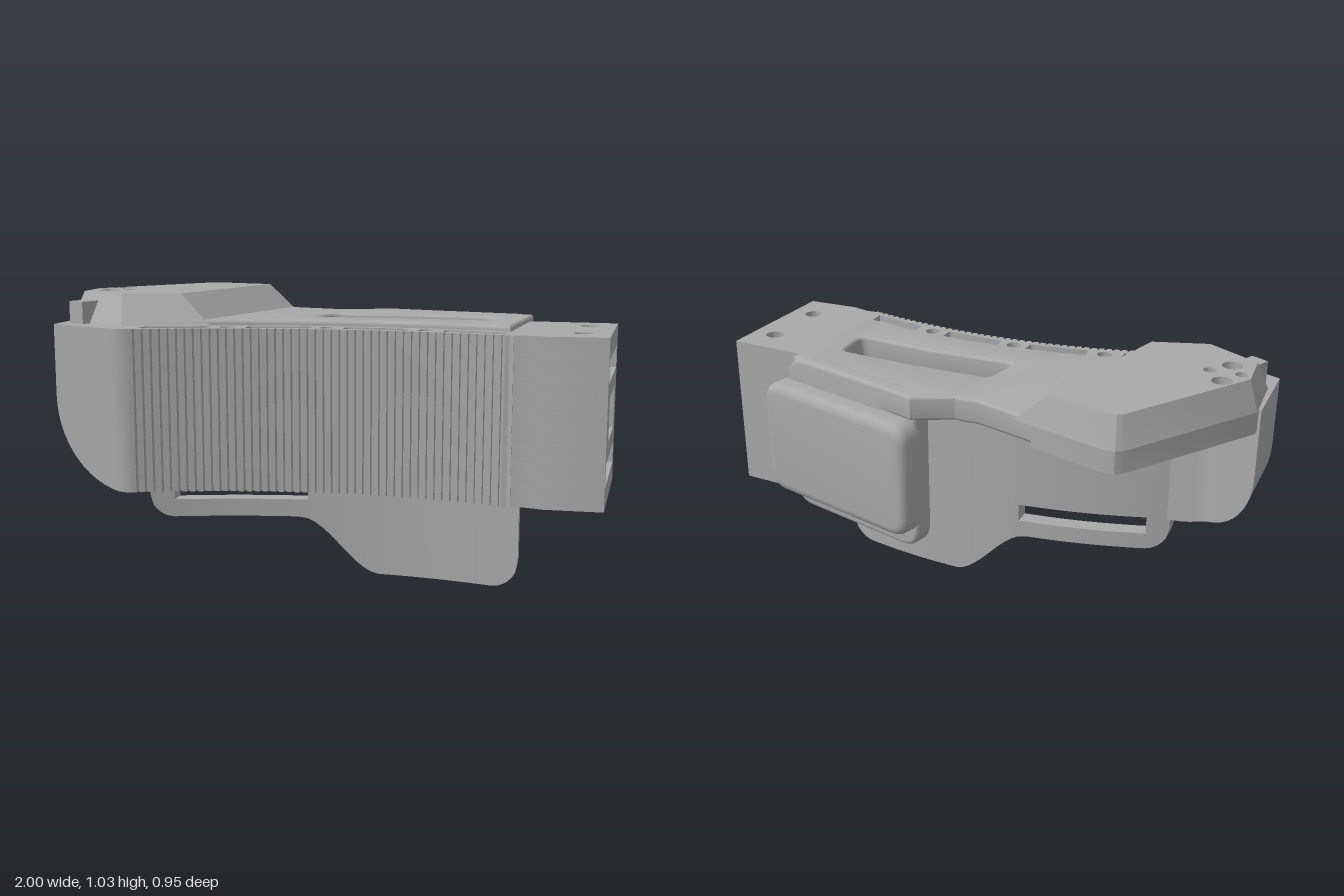
import * as THREE from 'three';
import { toCreasedNormals } from 'three/addons/utils/BufferGeometryUtils.js';

// Front curve of the grip, as z over x
const bow = x => 0.33 + 0.237 * (x - 0.07) ** 2;
const range = (a, b, n) => Array.from({ length: n + 1 }, (_, i) => a + (b - a) * i / n);
const lerp = THREE.MathUtils.lerp;
const vec = pts => pts.map(p => new THREE.Vector2(p[0], p[1]));
const crease = g => toCreasedNormals(g, 0.5);

const circle = (x, z, r) => range(0, Math.PI * 2, 20).slice(0, -1)
  .map(a => [x + r * Math.cos(a), z + r * Math.sin(a)]);

// Polygon with rounded corners
function rounded(pts, r) {
  const out = [], v = vec(pts), n = v.length;
  v.forEach((p, i) => {
    const a = v[(i + n - 1) % n].clone().sub(p).setLength(r).add(p);
    const b = v[(i + 1) % n].clone().sub(p).setLength(r).add(p);
    new THREE.QuadraticBezierCurve(a, p, b).getPoints(6).forEach(q => out.push([q.x, q.y]));
  });
  return out;
}

// Extrude an outline with holes; bevel stays inside the outline
function extrude(pts, depth, holes = [], bevel = 0) {
  const shape = new THREE.Shape(vec(pts));
  shape.holes = holes.map(h => new THREE.Path(vec(h)));
  const g = new THREE.ExtrudeGeometry(shape, {
    depth: depth - 2 * bevel, bevelEnabled: bevel > 0, bevelThickness: bevel,
    bevelSize: bevel, bevelOffset: -bevel, bevelSegments: 4,
  });
  return g.translate(0, 0, bevel);
}

// Upright prism from an (x, z) plan
const prism = (pts, y0, y1, holes, bevel) =>
  extrude(pts, y1 - y0, holes, bevel).rotateX(Math.PI / 2).translate(0, y1, 0);

// Slab of rectangular sections along x; each limit is a function of x
function slab(xs, bottom, top, back, front) {
  const pos = [], idx = [], n = xs.length;
  xs.forEach(x => {
    const b = bottom(x), t = top(x), k = back(x), f = front(x);
    pos.push(x, b, k, x, b, f, x, t, f, x, t, k);
  });
  for (let s = 0; s < n - 1; s++) for (let i = 0; i < 4; i++) {
    const a = s * 4 + i, b = s * 4 + (i + 1) % 4;
    idx.push(a, a + 4, b, b, a + 4, b + 4);
  }
  const e = (n - 1) * 4;
  idx.push(0, 1, 2, 0, 2, 3, e, e + 2, e + 1, e, e + 3, e + 2);
  const g = new THREE.BufferGeometry();
  g.setAttribute('position', new THREE.Float32BufferAttribute(pos, 3));
  g.setIndex(idx);
  return g;
}

export function createModel() {
  const model = new THREE.Group();
  const grey = new THREE.MeshStandardMaterial({ color: 0xa9a9a9 });
  grey.name = 'grey';
  const add = (name, geometry, parent = model) => {
    const m = new THREE.Mesh(crease(geometry), grey);
    m.name = name;
    parent.add(m);
    return m;
  };

  // Bowed front wall with vertical ribs
  const plan = [], ribs = 46, pitch = 1.3 / ribs;
  for (let i = 0; i < ribs; i++) {
    const x = -0.67 + i * pitch;
    for (const [t, d] of [[0, 0], [0.6, 0], [0.7, 0.013], [0.9, 0.013]])
      plan.push([x + t * pitch, bow(x + t * pitch) - d]);
  }
  plan.push([0.66, bow(0.66)]);
  range(0.66, -0.67, 30).forEach(x => plan.push([x, bow(x) - 0.25]));

  // Pin holes and the shallow slots around them
  const rowZ = x => bow(x) - 0.062;
  const single = [-0.35, 0, 0.35].map(x => circle(x, rowZ(x), 0.028));
  const slotX = [-0.53, -0.17, 0.175, 0.53];
  const pins = slotX.flatMap(c => [-0.084, -0.028, 0.028, 0.084]
    .map(d => circle(c + d, rowZ(c + d), 0.024)));
  const slots = slotX.map(c => {
    const xs = range(c - 0.115, c + 0.115, 8);
    return rounded([...xs.map(x => [x, rowZ(x) - 0.03]),
      ...xs.reverse().map(x => [x, rowZ(x) + 0.03])], 0.012);
  });
  add('gripWall', prism(plan, 0.34, 0.895, [...single, ...pins]));
  add('gripWallTop', prism(plan, 0.895, 0.92, [...single, ...slots]));

  // Rounded far end of the wall
  const endX = [...range(0, Math.PI / 2, 14).map(a => -0.68 - 0.32 * Math.cos(a)), -0.66];
  const endBack = x => x > -0.8 ? 0.2 : lerp(0.2, 0.02, (-0.8 - x) / 0.2);
  const endFront = x => x > -0.7 ? bow(x) : lerp(0.467, 0.33, (-0.7 - x) / 0.3);
  add('wallEnd', slab(endX,
    x => 0.66 - 0.32 * Math.sqrt(Math.max(0, 1 - (Math.min(0, x + 0.68) / 0.32) ** 2)),
    () => 0.92, endBack, endFront));

  // Thin raised panel on the inside of the wall
  add('innerPanel', slab(range(-0.72, 0.6, 30), x => 0.43, () => 0.83,
    x => bow(x) - 0.256, x => bow(x) - 0.245));

  // Hanging tab with a strap slot
  const tabBottom = x => {
    if (x < -0.58) return 0.295 - 0.09 * Math.sqrt(Math.max(0, 1 - ((x + 0.58) / 0.09) ** 2));
    if (x < 0.17) return 0.205 * (1 - THREE.MathUtils.smoothstep(x, -0.13, 0.17));
    return x > 0.58 ? 0.1 - 0.1 * Math.sqrt(Math.max(0, 1 - ((x - 0.58) / 0.1) ** 2)) : 0;
  };
  const tabX = [...range(-0.67, -0.586, 8), ...range(-0.585, -0.101, 12), ...range(-0.1, 0.58, 26),
    ...range(0.6, 0.66, 4), 0.672, 0.68];
  add('tab', slab(tabX, tabBottom, x => x > -0.5855 && x < -0.1005 ? 0.27 : 0.36,
    x => bow(x) - 0.25, x => bow(x) - 0.185));

  // End block in layers, with pockets open to the side
  const faceX = z => 1 - (z + 0.11) * 0.057;
  const blockPlan = steps => {
    const notch = [];
    steps.forEach(([z0, z1, d0, d1]) => {
      notch.unshift([faceX(z0) - d1, z0], [faceX(z0) - d0, z0]);
      notch.push([faceX(z1) - d0, z1], [faceX(z1) - d1, z1]);
    });
    // Walk the pocket from its low-z lip inward and out again
    const low = notch.slice(0, notch.length / 2), high = notch.slice(notch.length / 2);
    const path = [...low.reverse(), ...high.reverse()];
    return [[0.63, -0.14], [1, -0.11], ...path, [0.97, 0.42], [0.77, 0.42],
      [0.7, 0.4], [0.63, bow(0.63)]];
  };
  const wide = [[-0.07, 0.385, 0, 0.24]];
  const screwHoles = [circle(0.9, 0.01, 0.034), circle(0.885, 0.28, 0.034)];
  const layers = [
    [0.34, 0.415, [], screwHoles], [0.415, 0.495, wide], [0.495, 0.555, []],
    [0.555, 0.59, [[-0.01, 0.295, 0, 0.03]]],
    [0.59, 0.68, null], [0.68, 0.71, [[-0.01, 0.295, 0, 0.03]]],
    [0.71, 0.765, []], [0.765, 0.845, wide], [0.845, 0.92, [], screwHoles],
  ];
  const stepped = [[0.63, -0.14], [1, -0.11],
    ...[[-0.01, 0], [-0.01, 0.03], [0, 0.03], [0, 0.24], [0.25, 0.24], [0.25, 0.03], [0.295, 0.03], [0.295, 0]]
      .map(([z, d]) => [faceX(z) - d, z]),
    [0.97, 0.42], [0.77, 0.42], [0.7, 0.4], [0.63, bow(0.63)]];
  layers.forEach(([y0, y1, steps, holes]) =>
    add('endBlock', prism(steps ? blockPlan(steps) : stepped, y0, y1, holes)));
  add('blockCatch', new THREE.BoxGeometry(0.1, 0.09, 0.055).translate(0.9, 0.635, 0.22));

  // Top plate over the hand opening
  const plateFront = range(0.64, -0.5, 20).map(x => [x, bow(x) - 0.125]);
  const platePlan = [[-0.36, -0.4], [-0.1, -0.32], [-0.06, -0.325], [-0.02, -0.32], [0.12, -0.385],
    [0.69, -0.2], ...plateFront];
  const window_ = rounded([[-0.055, -0.11], [0.25, -0.105], [0.55, -0.08], [0.555, 0.08],
    [0.25, 0.05], [-0.09, 0.05]], 0.035);
  add('topPlate', prism(platePlan, 0.85, 0.94, [window_], 0.012));

  // Raised wing with sloped sides and ramp
  const lower = [[-0.99, 0], [-0.67, -0.465], [-0.645, -0.482], [-0.6, -0.482], [-0.26, -0.375],
    [-0.43, 0.27], [-0.73, 0.36], [-0.87, 0.285], [-0.98, 0.22]];
  const upper = [[-0.955, 0.01], [-0.655, -0.43], [-0.635, -0.445], [-0.6, -0.447], [-0.38, -0.38],
    [-0.55, 0.225], [-0.75, 0.285], [-0.87, 0.215], [-0.945, 0.17]];
  const through = [circle(-0.87, -0.04, 0.036), circle(-0.87, 0.11, 0.036)];
  const blind = [circle(-0.92, 0.04, 0.023), circle(-0.81, 0.04, 0.023)];
  const skirt = lower.map(p => [...p]);
  skirt[4] = [-0.33, -0.397];
  skirt[5] = [-0.48, 0.25];
  add('wingBase', prism(skirt, 0.84, 0.92, through));
  const wing = prism(lower, 0.92, 1.03, [...through, ...blind]);
  const p = wing.attributes.position;
  for (let i = 0; i < p.count; i++) {
    if (p.getY(i) < 1) continue;
    const k = lower.findIndex(q => Math.hypot(q[0] - p.getX(i), q[1] - p.getZ(i)) < 1e-4);
    if (k >= 0) p.setXYZ(i, upper[k][0], 1.03, upper[k][1]);
  }
  add('wing', wing);
  const peg = add('peg', new THREE.BoxGeometry(0.07, 0.1, 0.09));
  peg.position.set(-0.91, 0.95, 0.25);
  peg.rotation.y = -0.45;

  // Rear bracket and palm pad, set at an angle
  const rear = new THREE.Group();
  rear.name = 'rearSupport';
  rear.position.set(0.44, 0, -0.37);
  rear.rotation.y = -0.273;
  model.add(rear);
  const rect = (x0, x1, y0, y1, r) => rounded([[x0, y0], [x1, y0], [x1, y1], [x0, y1]], r);
  add('bracket', extrude(rect(-0.325, 0.3, 0.34, 0.94, 0.08), 0.08, [], 0.015).translate(0, 0, 0.078), rear);
  add('palmPad', extrude(rect(-0.335, 0.365, 0.41, 0.85, 0.08), 0.125, [], 0.035), rear);

  return model;
}
